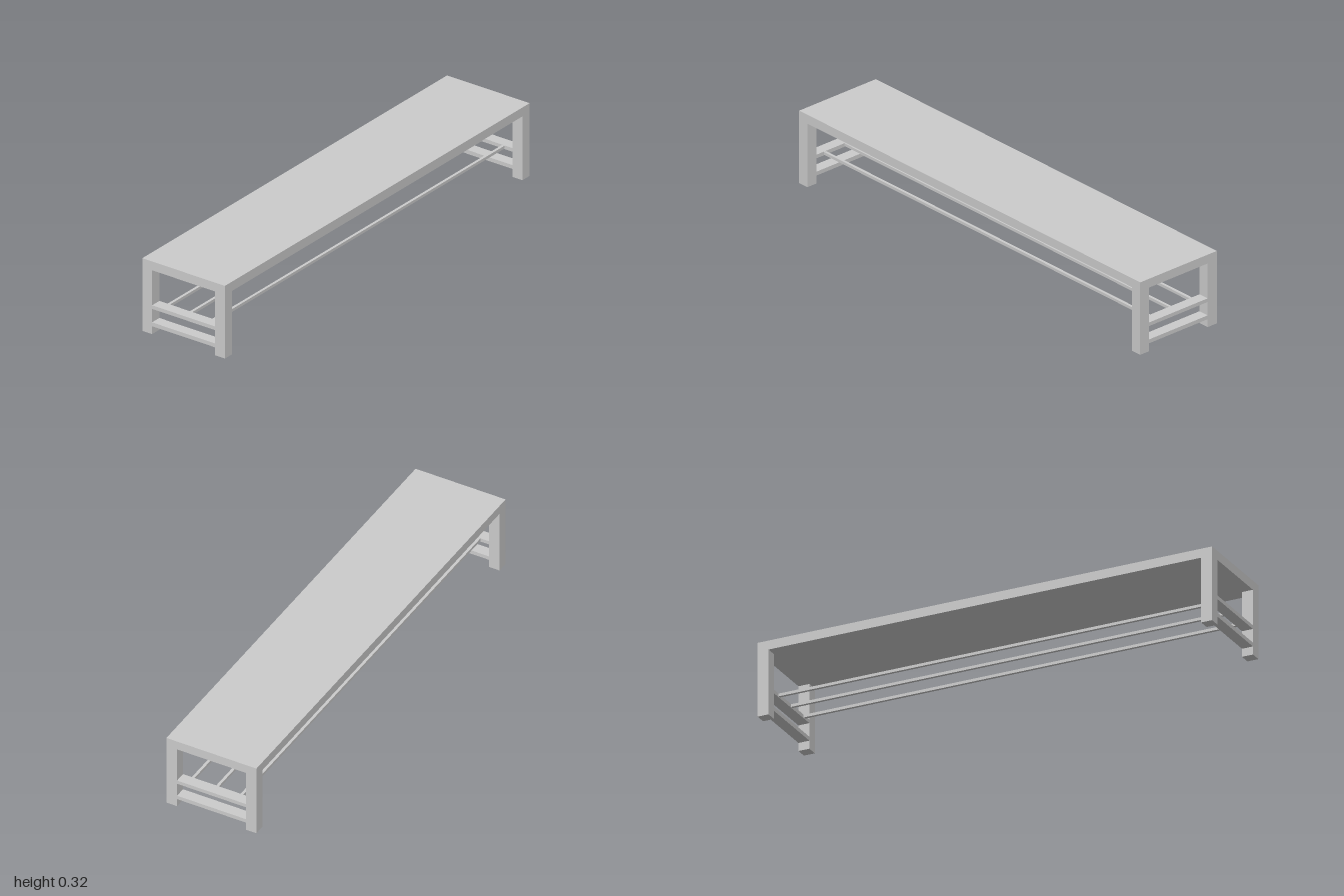
import * as THREE from 'three';

const material = new THREE.MeshStandardMaterial({ color: 0xcccccc, flatShading: true });

const HALF_LENGTH = 1, HALF_DEPTH = 0.203;
const LEG = 0.048;        // square leg section
const SEAT_BOTTOM = 0.281, SEAT_TOP = 0.32;

// Box given by its lower and upper bound on each axis
function box(name, [x0, x1], [y0, y1], [z0, z1]) {
  const mesh = new THREE.Mesh(new THREE.BoxGeometry(x1 - x0, y1 - y0, z1 - z0), material);
  mesh.position.set((x0 + x1) / 2, (y0 + y1) / 2, (z0 + z1) / 2);
  mesh.name = name;
  return mesh;
}

export function createModel() {
  const bench = new THREE.Group();
  bench.name = 'bench';

  // Seat slab
  bench.add(box('seat', [-HALF_LENGTH, HALF_LENGTH], [SEAT_BOTTOM, SEAT_TOP], [-HALF_DEPTH, HALF_DEPTH]));

  // End frames: two legs joined by two cross rails
  const inner = HALF_DEPTH - LEG;
  for (const [side, x] of [['left', [HALF_LENGTH - LEG, HALF_LENGTH]], ['right', [-HALF_LENGTH, LEG - HALF_LENGTH]]]) {
    const frame = new THREE.Group();
    frame.name = side + 'EndFrame';
    frame.add(
      box('frontLeg', x, [0, SEAT_BOTTOM], [inner, HALF_DEPTH]),
      box('backLeg', x, [0, SEAT_BOTTOM], [-HALF_DEPTH, -inner]),
      box('upperRail', x, [0.111, 0.127], [-inner, inner]),
      box('lowerRail', x, [0.035, 0.052], [-inner, inner])
    );
    bench.add(frame);
  }

  // Shelf rods spanning between the upper rails
  const reach = HALF_LENGTH - LEG;
  for (const z of [-0.11, 0, 0.11]) {
    bench.add(box('shelfRod', [-reach, reach], [0.114, 0.126], [z - 0.006, z + 0.006]));
  }

  return bench;
}
